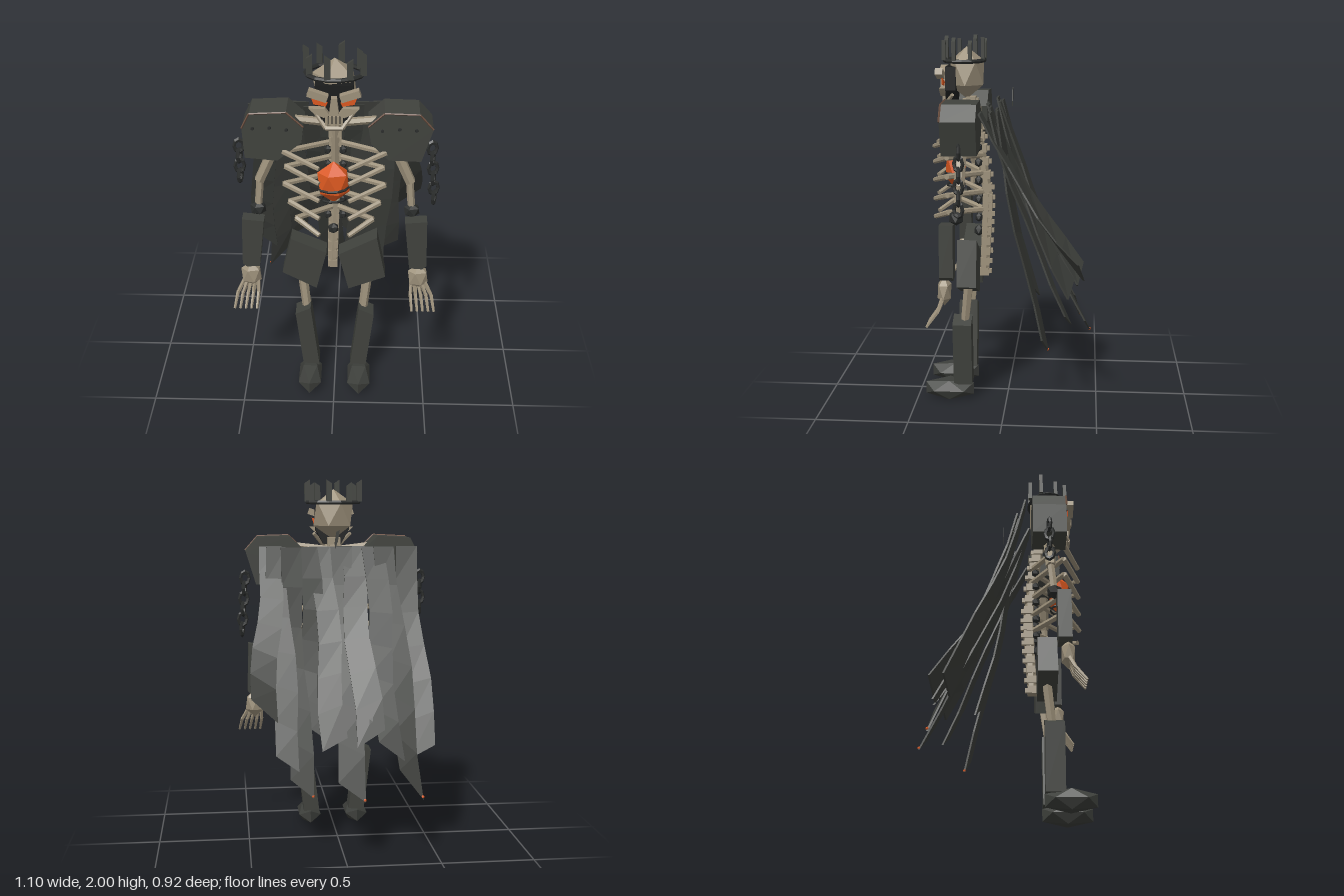
import * as THREE from 'three';

const mat = (name, color) => {
  const m = new THREE.MeshStandardMaterial({ color, flatShading: true, side: THREE.DoubleSide });
  m.name = name;
  return m;
};

export function createModel() {
  const root = new THREE.Group();
  root.name = 'skeletonKing';
  const iron = mat('iron', 0x40423d), darkIron = mat('darkIron', 0x2b2d2c), voidBlack = mat('voidBlack', 0x1b1c1c);
  const bone = mat('bone', 0x9d917b), ember = mat('ember', 0xdb5820), copper = mat('copper', 0x6b4f40);
  const cloth = mat('cloth', 0x3d3f3b);
  const V = (p) => new THREE.Vector3(...p);

  const add = (name, geo, m, pos = [0, 0, 0], rot = [0, 0, 0], scale = [1, 1, 1]) => {
    const o = new THREE.Mesh(geo, m);
    o.name = name;
    o.position.set(...pos);
    o.rotation.set(...rot);
    o.scale.set(...scale);
    root.add(o);
    return o;
  };
  const box = (name, size, m, pos, rot) => add(name, new THREE.BoxGeometry(...size), m, pos, rot);
  // Faceted rod between two points
  const rod = (name, a, b, r0, r1, m, sides = 6) => {
    const A = V(a), B = V(b), d = B.clone().sub(A);
    const o = add(name, new THREE.CylinderGeometry(r1, r0, d.length(), sides), m);
    o.position.copy(A.add(B).multiplyScalar(0.5));
    o.quaternion.setFromUnitVectors(new THREE.Vector3(0, 1, 0), d.normalize());
    return o;
  };
  // Slab from a front outline, between two depths
  const slab = (name, pts, z0, z1, m) => {
    const shape = new THREE.Shape(pts.map((p) => new THREE.Vector2(...p)));
    return add(name, new THREE.ExtrudeGeometry(shape, { depth: z1 - z0, bevelEnabled: false }), m, [0, 0, z0]);
  };
  // Icosahedron standing on a corner, scaled to half sizes
  const gem = (name, half, m, pos) => {
    const g = new THREE.IcosahedronGeometry(1, 0).rotateZ(Math.atan(2 / (1 + Math.sqrt(5))));
    return add(name, g, m, pos, [0, 0, 0], [half[0] / 0.9, half[1], half[2] / 0.86]);
  };

  // Skull and face
  gem('cranium', [0.112, 0.14, 0.092], bone, [0, 1.808, 0.224]);
  slab('faceVoid', [[-0.095, 1.845], [-0.095, 1.72], [-0.05, 1.64], [0.05, 1.64], [0.095, 1.72], [0.095, 1.845]], 0.275, 0.33, voidBlack);
  slab('noseBridge', [[-0.014, 1.79], [-0.025, 1.7], [0.025, 1.7], [0.014, 1.79]], 0.33, 0.365, bone);
  for (const s of [-1, 1]) {
    box('brow', [0.1, 0.036, 0.04], bone, [s * 0.08, 1.808, 0.36], [0, 0, s * 0.33]);
    slab('eye', [[s * 0.112, 1.787], [s * 0.032, 1.762], [s * 0.04, 1.742], [s * 0.1, 1.752]], 0.34, 0.348, ember);
    slab('cheekbone', [[s * 0.125, 1.735], [s * 0.045, 1.735], [s * 0.022, 1.7], [s * 0.05, 1.685], [s * 0.1, 1.71]], 0.33, 0.36, bone);
    rod('jaw', [s * 0.105, 1.7, 0.29], [s * 0.04, 1.625, 0.35], 0.01, 0.012, bone, 5);
  }
  rod('chin', [-0.045, 1.625, 0.35], [0.045, 1.625, 0.35], 0.012, 0.012, bone, 5);
  for (let i = -2; i <= 2; i++) box('tooth', [0.014, 0.045, 0.014], bone, [i * 0.019, 1.665, 0.345]);

  // Crown
  const band = new THREE.TorusGeometry(1, 0.1, 6, 14).rotateX(Math.PI / 2);
  add('crownBand', band, darkIron, [0, 1.875, 0.235], [0, 0, 0], [0.142, 0.12, 0.107]);
  for (let i = 0; i < 8; i++) {
    const a = (i + 0.5) * Math.PI / 4, w = 0.015, h = 0.105 + 0.015 * (i % 2), tilt = i % 3 ? 0.02 : -0.02;
    const o = slab('crownSpike', [[-w, 0], [w, 0], [w, h - Math.max(tilt, 0)], [-w, h + Math.min(tilt, 0)]], -0.01, 0.01, iron);
    o.position.set(0.144 * Math.sin(a) + 0.025 * Math.cos(a), 1.88, 0.225 + 0.11 * Math.cos(a));
  }

  // Spine, neck and clavicles
  const spine = new THREE.CatmullRomCurve3([[0, 1.66, 0.2], [0, 1.45, 0.15], [-0.005, 1.15, 0.115], [-0.01, 0.95, 0.12], [-0.015, 0.7, 0.135]].map(V));
  for (let i = 0; i <= 17; i++) {
    const p = spine.getPoint(i / 17), w = 0.07 - i * 0.001;
    box('vertebra', [w, 0.042, 0.05], bone, p.toArray());
    box('spineProcess', [0.02, 0.024, 0.03], bone, [p.x, p.y, p.z - 0.025]);
  }
  rod('spineCord', [0, 1.64, 0.19], [0, 1.15, 0.115], 0.026, 0.026, bone);
  rod('lowerSpineCord', [0, 1.15, 0.115], [-0.015, 0.69, 0.135], 0.028, 0.026, bone);
  gem('pelvisStud', [0.028, 0.032, 0.025], darkIron, [-0.01, 0.935, 0.165]);

  // Ribs: back half to the side, front half inwards
  const ribs = [[1.47, 0.26], [1.385, 0.25], [1.285, 0.26], [1.18, 0.235], [1.08, 0.2]];
  for (const s of [-1, 1]) {
    rod('clavicle', [s * 0.02, 1.61, 0.25], [s * 0.22, 1.635, 0.26], 0.022, 0.02, bone);
    for (const [y, x] of ribs) {
      rod('backRib', [s * 0.02, y - 0.02, 0.145], [s * x, y, 0.305], 0.016, 0.015, bone, 6);
      rod('frontRib', [s * x, y, 0.305], [s * 0.075, y - 0.05, 0.395], 0.016, 0.013, bone, 6);
      gem('ribStud', [0.02, 0.025, 0.02], darkIron, [s * 0.04, y - 0.06, 0.16]);
    }
  }

  // Burning heart with its bands
  gem('heart', [0.084, 0.12, 0.055], ember, [-0.005, 1.29, 0.29]);
  for (const [y, r] of [[1.26, 0.08], [1.195, 0.064]])
    add('heartBand', new THREE.TorusGeometry(1, 0.08, 5, 10).rotateX(Math.PI / 2), darkIron, [-0.005, y, 0.29], [0, 0, 0.06], [r, 0.1, r * 0.75]);

  // Pauldrons with copper trim and rivets
  const pauldrons = [
    [[-0.465, 1.6], [-0.425, 1.68], [-0.24, 1.69], [-0.155, 1.61], [-0.165, 1.525], [-0.29, 1.42], [-0.455, 1.435]],
    [[0.495, 1.605], [0.425, 1.685], [0.25, 1.69], [0.17, 1.615], [0.185, 1.52], [0.275, 1.43], [0.44, 1.425]]
  ];
  for (const pts of pauldrons) {
    slab('pauldron', pts, 0.13, 0.312, iron);
    for (let i = 0; i < 3; i++) rod('pauldronTrim', [...pts[i], 0.313], [...pts[i + 1], 0.313], 0.005, 0.005, copper, 4);
    const s = Math.sign(pts[0][0]);
    for (const [x, y] of [[0.41, 1.6], [0.325, 1.605], [0.24, 1.595]])
      rod('rivet', [s * x, y, 0.31], [s * x, y, 0.32], 0.01, 0.008, darkIron);
  }

  // Hanging chains
  for (const [x, n] of [[-0.495, 4], [0.5, 6]])
    for (let i = 0; i < n; i++)
      add('chainLink', new THREE.TorusGeometry(0.024, 0.01, 5, 8), darkIron,
        [x + (n > 4 ? i * 0.004 : 0), 1.455 - i * 0.058, 0.215], [0, i % 2 ? 1.3 : 0.2, 0], [1, 1.4, 1]);

  // Arms and hands
  for (const s of [-1, 1]) {
    rod('upperArm', [s * 0.29, 1.5, 0.22], [s * 0.395, 1.26, 0.225], 0.03, 0.028, bone);
    rod('lowerUpperArm', [s * 0.39, 1.27, 0.225], [s * 0.405, 1.1, 0.24], 0.02, 0.02, bone);
    gem('elbow', [0.042, 0.042, 0.036], darkIron, [s * 0.405, 1.1, 0.24]);
    slab('vambrace', [[s * 0.37, 1.065], [s * 0.485, 1.075], [s * 0.492, 0.8], [s * 0.47, 0.78], [s * 0.4, 0.785]], 0.25, 0.322, iron);
    gem('palm', [0.055, 0.08, 0.035], bone, [s * 0.45, 0.72, 0.3]);
    for (let i = 0; i < 5; i++) {
      const x0 = 0.415 + i * 0.018, x1 = 0.412 + i * 0.028, x2 = 0.42 + i * 0.03;
      rod('fingerBase', [s * x0, 0.69, 0.305], [s * x1, 0.62, 0.33], 0.012, 0.01, bone, 5);
      rod('fingerTip', [s * x1, 0.625, 0.328], [s * x2, 0.548, 0.385], 0.01, 0.007, bone, 5);
    }
  }

  // Hip plates, legs and boots
  slab('hipPlate', [[-0.235, 0.92], [-0.045, 0.835], [-0.1, 0.605], [-0.285, 0.705]], 0.155, 0.26, iron);
  slab('hipPlate', [[0.02, 0.825], [0.225, 0.935], [0.275, 0.685], [0.075, 0.605]], 0.155, 0.26, iron);
  for (const s of [-1, 1]) {
    rod('thigh', [s * 0.185, 0.72, 0.2], [s * 0.15, 0.4, 0.235], 0.028, 0.024, bone);
    slab('greave', [[s * 0.217, 0.45], [s * 0.133, 0.49], [s * 0.087, 0.1], [s * 0.175, 0.09]], 0.19, 0.293, iron);
    add('boot', new THREE.IcosahedronGeometry(1, 0), cloth, [s * 0.137, 0.055, 0.32], [0, 0, 0], [0.074, 0.065, 0.158]);
  }

  // Ragged cloak strips: [top x, top z, end x, end y, end z, width, slant]
  const strips = [
    [-0.395, 0.09, -0.425, 0.56, -0.31, 0.13, -0.08], [-0.26, 0.05, -0.355, 0.4, -0.385, 0.125, 0.16],
    [-0.2, 0.06, -0.25, 0.58, -0.37, 0.135, 0.1], [-0.1, 0.12, -0.135, 0.66, -0.4, 0.14, -0.1],
    [-0.03, 0.11, -0.03, 0.385, -0.445, 0.14, 0.1], [0.09, 0.09, 0.05, 0.62, -0.35, 0.13, -0.08],
    [0.16, 0.05, 0.1, 0.62, -0.16, 0.12, 0.08], [0.25, 0.04, 0.215, 0.345, -0.215, 0.125, 0.1],
    [0.33, 0.07, 0.3, 0.52, -0.34, 0.12, 0.08], [0.36, 0.12, 0.42, 0.82, -0.405, 0.135, 0.12]
  ];
  strips.forEach(([x0, z0, x1, y1, z1, w, slant], k) => {
    const g = new THREE.BoxGeometry(1, 1, 0.01, 1, 6, 1), p = g.attributes.position;
    for (let i = 0; i < p.count; i++) {
      const t = 0.5 - p.getY(i), side = p.getX(i), wave = Math.sin(t * 6 + k * 1.7) * t * (1 - t);
      const x = x0 + (x1 - x0) * t + side * w * (0.9 + 0.1 * t) + 0.09 * wave;
      const y = 1.635 + (y1 - 1.635) * t + side * slant * t * t;
      const z = z0 + (z1 - z0) * (0.72 * t + 0.28 * t * t) + 0.05 * wave + side * 0.03 * t;
      p.setXYZ(i, x, y, z + p.getZ(i));
    }
    g.computeVertexNormals();
    add('cloakStrip', g, cloth);
    if ([1, 4, 7].includes(k)) gem('cloakEmber', [0.008, 0.009, 0.007], ember, [x1 - w * 0.47, y1 - slant * 0.4, z1 - 0.014]);
  });
  slab('looseShard', [[-0.01, 1.73], [0.008, 1.72], [0.018, 1.66], [0.014, 1.63], [0.0, 1.67]], -0.026, -0.021, cloth);

  return root;
}
